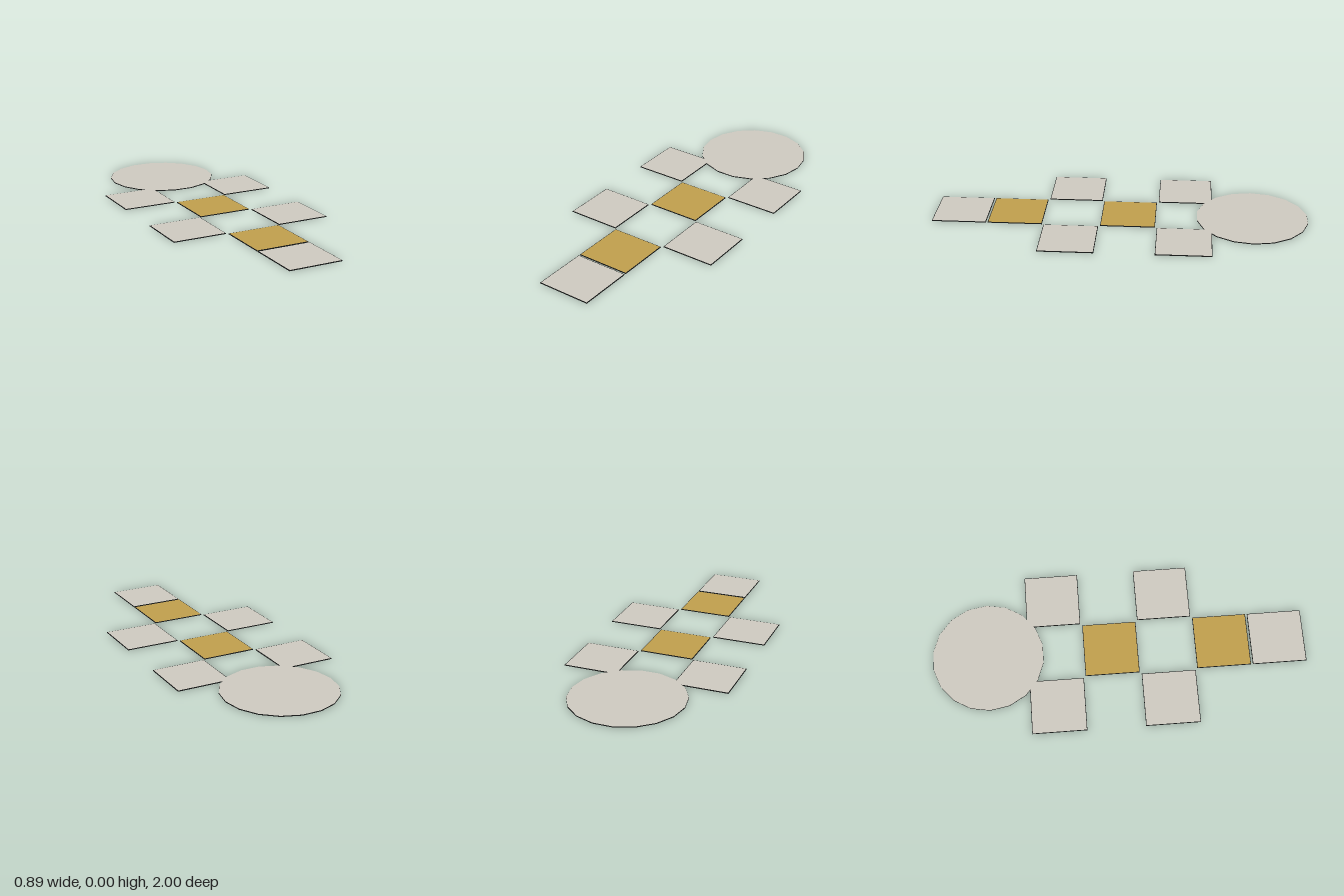
import * as THREE from 'three';

export function createModel() {
  const model = new THREE.Group();
  const mat = (color) => new THREE.MeshStandardMaterial({ color, flatShading: true });
  const dark = mat(0x151716), stone = mat(0xd0ccc2), gold = mat(0xc2a04e);

  const TILE = 0.29, PITCH = 0.3, BORDER = 0.003, SLAB = 0.004;

  // A dark slab with a slightly inset coloured face just above it
  function pad(name, x, z, slabGeo, faceGeo, faceMat, lift) {
    const group = new THREE.Group();
    group.name = name;
    const slab = new THREE.Mesh(slabGeo, dark);
    slab.name = name + 'Slab';
    slab.position.y = SLAB / 2;
    const face = new THREE.Mesh(faceGeo, faceMat);
    face.name = name + 'Face';
    face.rotation.x = -Math.PI / 2;
    face.position.y = SLAB + lift;
    group.add(slab, face);
    group.position.set(x, 0, z);
    model.add(group);
  }

  // Square tiles, row by row from the front: one, one, two, one, two, one
  const tileSlab = new THREE.BoxGeometry(TILE, SLAB, TILE);
  const tileFace = new THREE.PlaneGeometry(TILE - 2 * BORDER, TILE - 2 * BORDER);
  const rows = [[stone, 1], [gold, 1], [stone, 2], [gold, 1], [stone, 2], [gold, 1]];
  rows.forEach(([material, count], i) => {
    const z = 0.855 - i * PITCH;
    const xs = count === 1 ? [0] : [-PITCH, PITCH];
    for (const x of xs) {
      const side = x === 0 ? 'centre' : x > 0 ? 'left' : 'right';
      pad(`${side}Tile${i + 1}`, x, z, tileSlab, tileFace, material, 0.0005);
    }
  });

  // Eighteen-sided disc at the far end, lying over the last tile
  const R = 0.299, SIDES = 18, turn = Math.PI / SIDES;
  pad('endDisc', 0, -0.705,
    new THREE.CylinderGeometry(R, R, SLAB, SIDES, 1, false, turn),
    new THREE.CircleGeometry(R - 0.001, SIDES), stone, 0.001);

  return model;
}
